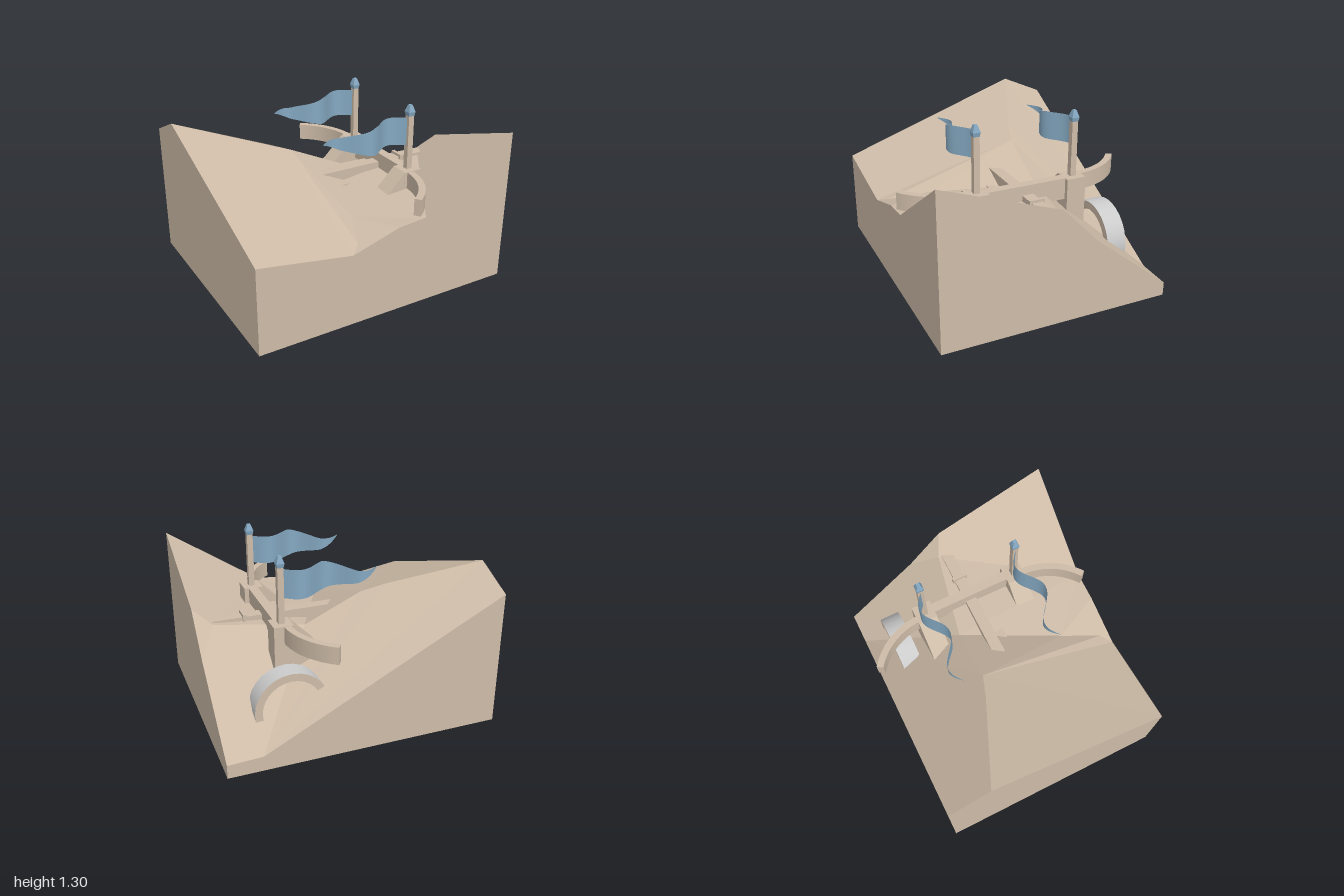
import * as THREE from 'three';

const stone = new THREE.MeshStandardMaterial({ color: 0xcdbba7, flatShading: true });
const cloth = new THREE.MeshStandardMaterial({ color: 0x85a9c2, side: THREE.DoubleSide });
const capMat = new THREE.MeshStandardMaterial({ color: 0x85a9c2, flatShading: true });
const plain = new THREE.MeshStandardMaterial({ color: 0xcccccc });

function add(parent, name, geometry, material = stone) {
  const mesh = new THREE.Mesh(geometry, material);
  mesh.name = name;
  parent.add(mesh);
  return mesh;
}

// Box given by its minimum and maximum corners
function block(parent, name, [x0, y0, z0], [x1, y1, z1]) {
  const mesh = add(parent, name, new THREE.BoxGeometry(x1 - x0, y1 - y0, z1 - z0));
  mesh.position.set((x0 + x1) / 2, (y0 + y1) / 2, (z0 + z1) / 2);
  return mesh;
}

// Faceted hillside: named corners, fanned top facets, skirt down to y = 0
function terrainGeometry() {
  const p = {
    A: [-1, 0.65, 0.855], B: [-0.3, 0.54, 0.855], C: [0.06, 0.65, 0.855], D: [0.28, 0.67, 0.855],
    E: [1, 1.15, 0.855], F: [1, 0.85, 0], G: [1, 0.57, -0.27], H: [1, 0.1, -0.855],
    I: [0.75, 0.11, -0.855], J: [-1, 1, -0.855], K: [-1, 1.14, -0.54],
    L: [-0.37, 0.95, -0.27], M: [-0.2, 0.89, -0.21], N: [0.23, 0.69, -0.2],
    P: [0.87, 0.74, -0.07], Q: [-0.1, 0.62, 0.5], R: [-0.22, 0.56, 0.81],
  };
  const pos = [];
  const fan = (pts) => {
    for (let i = 1; i < pts.length - 1; i++) pos.push(...pts[0], ...pts[i], ...pts[i + 1]);
  };
  const floor = ([x, , z]) => [x, 0, z];
  for (const facet of ['MLKABRQ', 'MQN', 'QRBC', 'DPNQC', 'DEFP', 'PFG', 'NPGHI', 'IJKLMN']) {
    fan([...facet].map((k) => p[k]));
  }
  const rim = [...'ABCDEFGHIJK'].map((k) => p[k]);
  rim.forEach((a, i) => {
    const b = rim[(i + 1) % rim.length];
    fan([floor(a), floor(b), b, a]);
  });
  fan([...'AJHE'].map((k) => floor(p[k])));
  const geo = new THREE.BufferGeometry();
  geo.setAttribute('position', new THREE.Float32BufferAttribute(pos, 3));
  geo.computeVertexNormals();
  return geo;
}

// Curved wing of the wall; side is +1 or -1 along z
function wingGeometry(side) {
  const shape = new THREE.Shape();
  const cx = -0.076, cy = -side * 0.42, end = -side * 0.97;
  shape.absarc(cx, cy, 0.536, 0, end, side > 0);
  shape.absarc(cx, cy, 0.486, end, 0, side < 0);
  const geo = new THREE.ExtrudeGeometry(shape, { depth: 0.125, bevelEnabled: false, curveSegments: 14 });
  return geo.rotateX(-Math.PI / 2).translate(0, 0.693, 0);
}

// Sloping buttress beside a tower
function rampGeometry() {
  const shape = new THREE.Shape([[0.4, 0.82], [0.39, 0.82], [0.1, 0.53], [0.1, 0.4], [0.4, 0.4]]
    .map(([x, y]) => new THREE.Vector2(x, y)));
  return new THREE.ExtrudeGeometry(shape, { depth: 0.145, bevelEnabled: false });
}

// Waving pennant: piecewise outline with a sine ripple in depth
function flagGeometry() {
  const n = 36, length = 0.69;
  const geo = new THREE.PlaneGeometry(1, 1, n, 1);
  const outline = [[0, 1, 1.21], [0.3, 1, 1.21], [0.53, 1.05, 1.14], [0.69, 1.135, 1.14]];
  const pos = geo.attributes.position;
  for (let i = 0; i < pos.count; i++) {
    const d = (pos.getX(i) + 0.5) * length;
    let k = 0;
    while (k < 2 && d > outline[k + 1][0]) k++;
    const a = outline[k], b = outline[k + 1];
    const t = (d - a[0]) / (b[0] - a[0]);
    const row = pos.getY(i) > 0 ? 2 : 1;
    pos.setXYZ(i, -d, a[row] + (b[row] - a[row]) * t, -0.062 * Math.sin((Math.PI * d) / 0.23));
  }
  geo.computeVertexNormals();
  return geo;
}

// Four-sided finial frustum
const finial = (top, bottom, h) =>
  new THREE.CylinderGeometry(top * Math.SQRT1_2, bottom * Math.SQRT1_2, h, 4).rotateY(Math.PI / 4);

// Ring wheel: smooth pale rim, stone side faces and inner face
function addWheel(parent) {
  const wheel = new THREE.Group();
  wheel.name = 'wheel';
  const R = 0.265, r = 0.21, w = 0.15;
  add(wheel, 'wheelRim', new THREE.CylinderGeometry(R, R, w, 28, 1, true).rotateX(Math.PI / 2), plain);
  const inner = new THREE.CylinderGeometry(r, r, w, 28, 1, true).rotateX(Math.PI / 2);
  const innerMat = stone.clone();
  innerMat.side = THREE.BackSide;
  add(wheel, 'wheelInside', inner, innerMat);
  for (const s of [1, -1]) {
    const face = add(wheel, 'wheelSide', new THREE.RingGeometry(r, R, 28));
    face.position.z = (s * w) / 2;
    if (s < 0) face.rotation.y = Math.PI;
  }
  wheel.position.set(0.487, 0.315, -0.6);
  parent.add(wheel);
}

export function createModel() {
  const model = new THREE.Group();
  model.name = 'hillFort';
  add(model, 'hillside', terrainGeometry());

  // Wall between the towers and the walkway through it
  block(model, 'straightWall', [0.43, 0.66, -0.31], [0.5, 0.82, 0.31]);
  block(model, 'walkway', [-0.15, 0.66, -0.045], [0.87, 0.75, 0.04]);
  block(model, 'walkwayBase', [0, 0.58, -0.12], [0.3, 0.668, 0.12]);
  block(model, 'walkwayGate', [0.62, 0.64, -0.06], [0.645, 0.77, 0.055]);

  // Towers, buttresses, curved wings and flags on both sides
  for (const side of [1, -1]) {
    const z = side * 0.372;
    const tower = new THREE.Group();
    tower.name = side > 0 ? 'frontTower' : 'backTower';
    model.add(tower);
    add(tower, 'curvedWall', wingGeometry(side));
    block(tower, 'towerBlock', [0.39, 0.3, z - 0.073], [0.533, 0.82, z + 0.073]);
    add(tower, 'buttress', rampGeometry()).position.z = z - 0.0725;
    block(tower, 'flagPole', [0.439, 0.8, z - 0.022], [0.483, 1.23, z + 0.022]);
    add(tower, 'finialBase', finial(0.056, 0.044, 0.03), capMat).position.set(0.461, 1.24, z);
    add(tower, 'finialTip', finial(0.024, 0.056, 0.05), capMat).position.set(0.461, 1.28, z);
    add(tower, 'flag', flagGeometry(), cloth).position.set(0.44, 0, z);
  }

  addWheel(model);
  return model;
}
